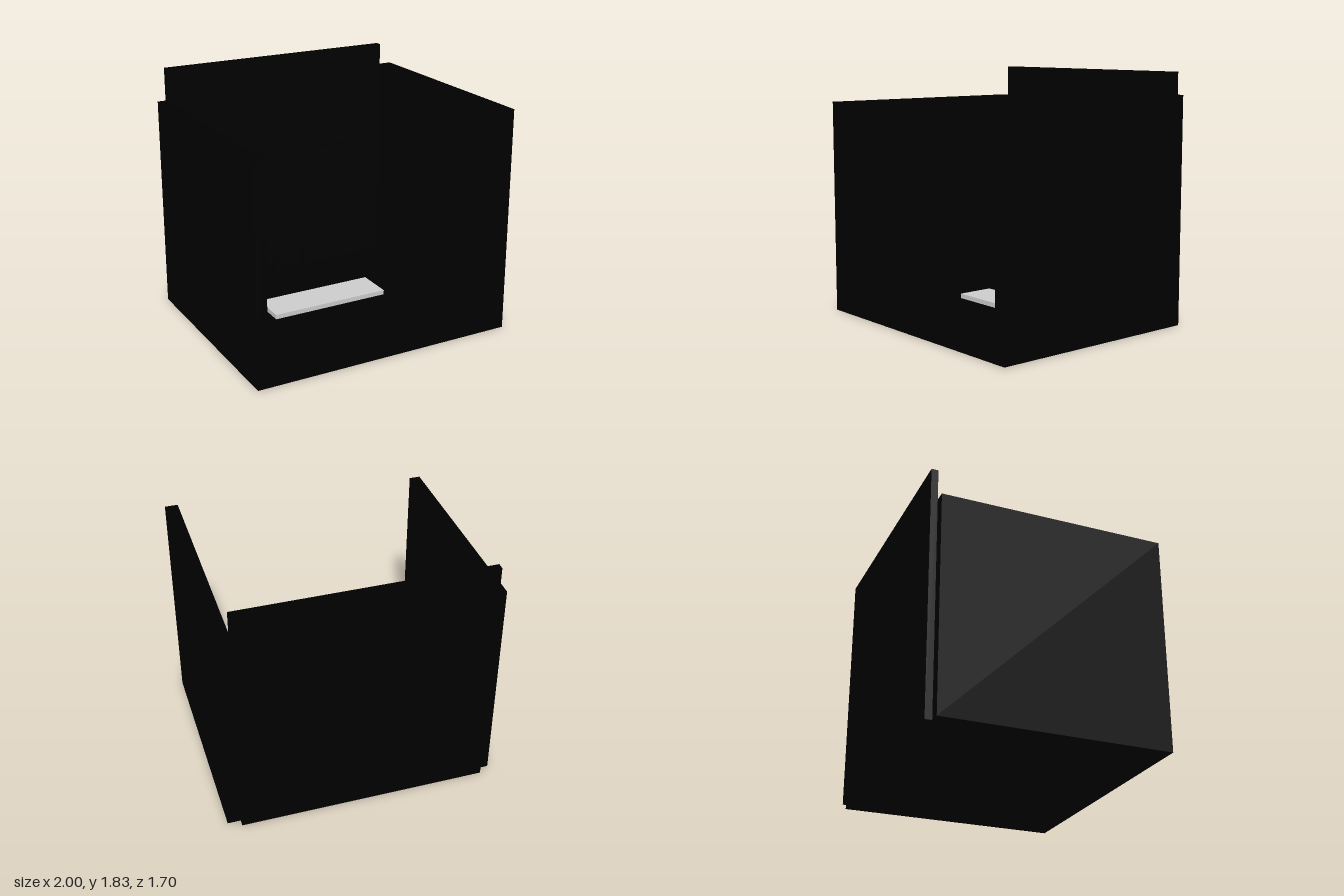
import * as THREE from 'three';

export function createModel() {
  const model = new THREE.Group();
  const black = new THREE.MeshStandardMaterial({ color: 0x000000 });
  const grey = new THREE.MeshStandardMaterial({ color: 0xcccccc });

  // Box given by its lower and upper corners
  function box(name, [x0, y0, z0], [x1, y1, z1], material = black, parent = model) {
    const mesh = new THREE.Mesh(new THREE.BoxGeometry(x1 - x0, y1 - y0, z1 - z0), material);
    mesh.position.set((x0 + x1) / 2, (y0 + y1) / 2, (z0 + z1) / 2);
    mesh.name = name;
    parent.add(mesh);
  }

  function group(name) {
    const g = new THREE.Group();
    g.name = name;
    model.add(g);
    return g;
  }

  // Room shell: the three walls differ in height
  box('floor', [-0.92, 0, -0.8], [0.905, 0.065, 0.85]);
  box('rightWall', [-1, 0, -0.8], [-0.92, 1.595, 0.85]);
  box('leftWall', [0.905, 0, -0.8], [1, 1.67, 0.85]);
  box('backWall', [-0.92, 0, -0.85], [0.905, 1.83, -0.8]);

  // Large screen: bezel with an opening and a recessed panel
  const screen = group('screen');
  const bezelShape = new THREE.Shape();
  bezelShape.moveTo(-0.64, 0.235).lineTo(0.62, 0.235).lineTo(0.62, 1.085).lineTo(-0.64, 1.085).closePath();
  const opening = new THREE.Path();
  opening.moveTo(-0.6, 0.27).lineTo(-0.6, 1.055).lineTo(0.595, 1.055).lineTo(0.595, 0.27).closePath();
  bezelShape.holes.push(opening);
  const bezel = new THREE.Mesh(
    new THREE.ExtrudeGeometry(bezelShape, { depth: 0.06, bevelEnabled: false }), black);
  bezel.position.z = -0.75;
  bezel.name = 'bezel';
  screen.add(bezel);
  box('displayPanel', [-0.6, 0.27, -0.75], [0.595, 1.055, -0.705], black, screen);

  // Two feet reaching slightly ahead of the screen
  for (const x of [-0.09, 0.155]) {
    box('screenFoot', [x - 0.022, 0.065, -0.75], [x + 0.022, 0.235, -0.655], black, screen);
  }

  // Small rail with pegs on the side wall
  const rail = group('wallRail');
  box('railPlate', [-0.92, 0.99, -0.47], [-0.9, 1.05, -0.13], black, rail);
  for (const z of [-0.42, -0.3, -0.18]) {
    box('railPeg', [-0.9, 0.97, z - 0.02], [-0.875, 1.08, z + 0.02], black, rail);
  }

  // Flat slab lying on the floor
  box('floorSlab', [-0.475, 0.065, -0.23], [0.455, 0.1, 0.055], grey);

  return model;
}
